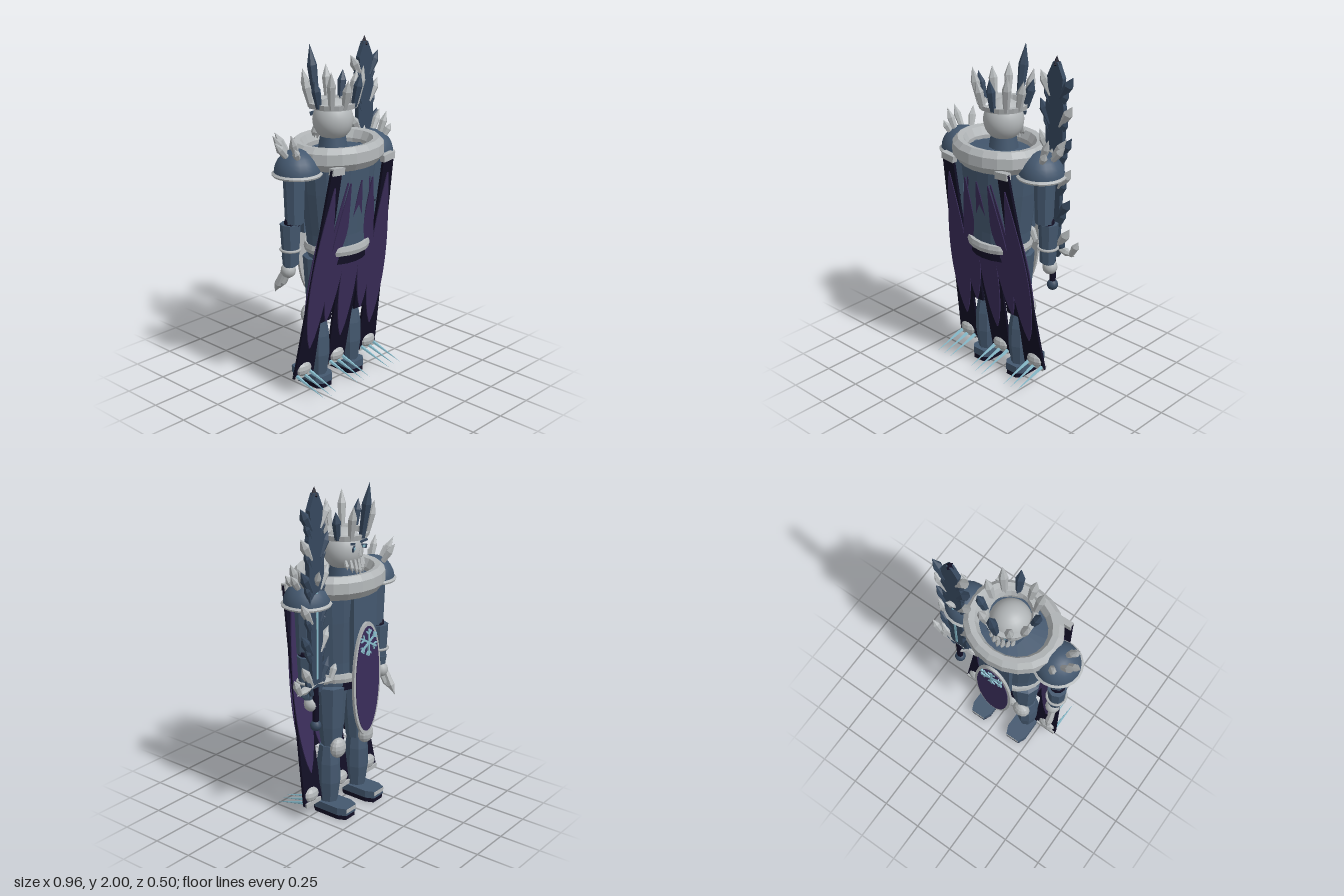
import * as THREE from 'three';

const paint = (name, color, side = THREE.FrontSide) => {
  const m = new THREE.MeshStandardMaterial({ color, side });
  m.name = name;
  return m;
};

export function createModel() {
  const steel = paint('steel blue', 0x44586f);
  const slate = paint('dark slate crystal', 0x36485e);
  const frost = paint('frost grey', 0xb2b6b8);
  const navy = paint('night navy', 0x110e24);
  const purple = paint('royal purple', 0x3a2d5a);
  const ice = paint('ice blue', 0x86b9c9);

  const model = new THREE.Group();
  const body = new THREE.Group();
  body.name = 'body';
  body.position.x = -0.026;
  model.add(body);

  const add = (name, geo, mat, x = 0, y = 0, z = 0, parent = body) => {
    const m = new THREE.Mesh(geo, mat);
    m.name = name;
    m.position.set(x, y, z);
    parent.add(m);
    return m;
  };
  const flat = (g) => {
    const f = g.index ? g.toNonIndexed() : g;
    f.computeVertexNormals();
    return f;
  };
  const lathe = (pts, sides) =>
    flat(new THREE.LatheGeometry(pts.map(([r, y]) => new THREE.Vector2(r, y)), sides));
  const plate = (pts, depth) => {
    const s = new THREE.Shape(pts.map(([x, y]) => new THREE.Vector2(x, y)));
    return new THREE.ExtrudeGeometry(s, { depth, bevelEnabled: false }).translate(0, 0, -depth / 2);
  };
  // Six-sided crystal from point a to point b
  const up = new THREE.Vector3(0, 1, 0);
  const crystal = (name, a, b, r, mat, parent = body) => {
    const from = new THREE.Vector3(...a), dir = new THREE.Vector3(...b).sub(from);
    const len = dir.length();
    const g = lathe([[0, 0], [r * 0.65, 0], [r, len * 0.62], [0, len]], 6);
    const m = add(name, g, mat, ...a, parent);
    m.quaternion.setFromUnitVectors(up, dir.normalize());
    return m;
  };

  // Torso, belt and collar
  add('torso', lathe([[0, 0.8], [0.19, 0.8], [0.2, 0.95], [0.235, 1.2], [0.255, 1.4], [0, 1.43]], 20), steel)
    .scale.z = 0.76;
  add('belt', lathe([[0.17, 0.83], [0.2, 0.835], [0.207, 0.86], [0.2, 0.885], [0.17, 0.885], [0.17, 0.83]], 20), frost)
    .scale.z = 0.85;
  add('beltLining', lathe([[0, 0.76], [0.185, 0.78], [0.185, 0.835], [0, 0.835]], 20), navy).scale.z = 0.8;
  add('collar', lathe([[0.2, 1.34], [0.25, 1.345], [0.288, 1.39], [0.285, 1.45], [0.255, 1.48],
    [0.22, 1.475], [0.195, 1.43], [0.2, 1.34]], 20), frost).scale.z = 0.87;
  add('chestPanel', new THREE.BoxGeometry(0.21, 0.5, 0.03), steel, 0, 1.15, -0.175);

  // Head with eyes, brows and hanging beard crystals
  add('neck', new THREE.CylinderGeometry(0.07, 0.09, 0.12, 12), steel, 0, 1.45, -0.03);
  add('head', new THREE.SphereGeometry(0.115, 24, 16), frost, 0, 1.58, -0.03).scale.y = 1.05;
  for (const s of [-1, 1]) {
    add('eye', new THREE.BoxGeometry(0.045, 0.022, 0.008), slate, s * 0.043, 1.605, -0.138).rotation.set(0, s * 0.38, s * -0.2);
    add('pupil', new THREE.BoxGeometry(0.018, 0.012, 0.008), ice, s * 0.043, 1.605, -0.142).rotation.y = s * 0.38;
    add('brow', new THREE.BoxGeometry(0.055, 0.012, 0.014), slate, s * 0.045, 1.632, -0.134).rotation.set(0, s * 0.38, s * 0.25);
  }
  add('nose', new THREE.ConeGeometry(0.014, 0.045, 4), frost, 0, 1.585, -0.148);
  for (let i = -3; i <= 3; i++) {
    const a = i * 0.27, x = Math.sin(a), z = -Math.cos(a);
    crystal('beardCrystal', [x * 0.1, 1.54, -0.03 + z * 0.105],
      [x * 0.1, 1.44 + Math.abs(i) * 0.015, -0.04 + z * 0.115], 0.014, frost);
  }

  // Crown: a band with eleven leaning crystals
  add('crownBand', lathe([[0.11, 1.655], [0.14, 1.655], [0.147, 1.685], [0.12, 1.685], [0.11, 1.655]], 22), frost, 0, 0, -0.03);
  const heights = [1.98, 1.86, 1.83, 1.84, 1.88, 1.86, 1.83, 1.88, 1.83, 1.84, 1.86];
  const darkOnes = [0, 2, 5, 8];
  heights.forEach((h, i) => {
    const a = (i / 11) * Math.PI * 2, x = Math.sin(a), z = -Math.cos(a);
    const lean = i === 0 ? 0.18 : 0.172;
    crystal('crownCrystal', [x * 0.13, 1.665, -0.03 + z * 0.13], [x * lean, h, -0.03 + z * lean],
      i === 0 ? 0.029 : 0.026, darkOnes.includes(i) ? slate : frost);
  });

  // Long cloak panels on a sloping plane, each with a purple petal on both faces
  const slope = (g, offset) => {
    const p = g.attributes.position;
    for (let i = 0; i < p.count; i++) p.setZ(i, p.getZ(i) + 0.2 - (1.38 - p.getY(i)) * 0.17 + offset);
    g.computeVertexNormals();
    return g;
  };
  const petal = (x0, y0, x1, y1, w) => {
    const left = [], right = [];
    for (let i = 0; i <= 16; i++) {
      const t = i / 16, hw = 0.003 + w * Math.pow(Math.sin(Math.PI * Math.pow(t, 1.3)) + 1e-9, 0.75);
      const x = x0 + (x1 - x0) * t, y = y0 + (y1 - y0) * t;
      left.push([x - hw, y]);
      right.unshift([x + hw, y]);
    }
    return plate([...left, ...right], 0.006);
  };
  const cloak = (name, corners, petalArgs) => {
    add(name, slope(plate(corners, 0.016), 0), navy);
    for (const o of [-0.011, 0.011]) add(name + 'Petal', slope(petal(...petalArgs), o), purple);
  };
  cloak('middleCloak', [[-0.07, 0.1], [0.07, 0.1], [0.09, 0.85], [-0.09, 0.85]], [0, 1.27, 0, 0.28, 0.064]);
  for (const s of [-1, 1]) {
    cloak('outerCloak', [[s * 0.19, 0.1], [s * 0.345, 0.1], [s * 0.25, 1.38], [s * 0.17, 1.38]],
      [s * 0.215, 1.27, s * 0.255, 0.28, 0.068]);
    cloak('innerCloak', [[s * 0.1, 0.42], [s * 0.21, 0.42], [s * 0.2, 0.85], [s * 0.09, 0.85]],
      [s * 0.088, 1.27, s * 0.145, 0.42, 0.055]);
    const tab = add('cloakClasp', new THREE.BoxGeometry(0.09, 0.04, 0.035), frost, s * 0.205, 1.365, 0.197);
    tab.rotation.z = s * 0.1;
  }

  // Cloak hem: pale knobs and forward icicles
  for (const x of [-0.275, 0, 0.275]) {
    const knob = add('hemKnob', flat(new THREE.SphereGeometry(0.06, 10, 6)), frost, x, 0.15, -0.01);
    knob.scale.set(1, 0.75, 0.6);
    add('hemBand', new THREE.BoxGeometry(0.13, 0.025, 0.03), frost, x, 0.105, -0.02);
    for (const d of [-0.052, 0, 0.052]) {
      const g = new THREE.ConeGeometry(0.012, 0.25, 5);
      add('hemIcicle', flat(g), ice, x + d, 0.085, 0.1).rotation.x = Math.PI / 2 + 0.27;
    }
  }

  // Oval tabard with pale rim and a snowflake
  const tabard = new THREE.Group();
  tabard.name = 'tabard';
  tabard.position.set(0, 0.84, -0.2);
  body.add(tabard);
  const disc = (name, rx, ry, depth, mat, z) =>
    add(name, new THREE.CylinderGeometry(1, 1, depth, 32).rotateX(Math.PI / 2), mat, 0, 0, z, tabard).scale.set(rx, ry, 1);
  disc('tabardRim', 0.125, 0.345, 0.016, frost, 0);
  disc('tabardCloth', 0.108, 0.322, 0.008, purple, -0.008);
  const flake = new THREE.Group();
  flake.name = 'snowflake';
  flake.position.set(0, 0.225, -0.015);
  tabard.add(flake);
  for (let i = 0; i < 6; i++) {
    const arm = new THREE.Group();
    arm.rotation.z = (i * Math.PI) / 3;
    flake.add(arm);
    add('flakeArm', new THREE.BoxGeometry(0.011, 0.08, 0.009), ice, 0, 0.04, 0, arm);
    for (const s of [-1, 1])
      add('flakeBarb', new THREE.BoxGeometry(0.008, 0.03, 0.009), ice, s * 0.011, 0.059, 0, arm).rotation.z = -s * 0.75;
  }

  // Arms and legs
  for (const s of [-1, 1]) {
    const dome = add('pauldron', new THREE.SphereGeometry(0.13, 20, 8, 0, Math.PI * 2, 0, Math.PI / 2), steel, s * 0.3, 1.335, -0.012);
    dome.scale.y = 1.03;
    add('pauldronRim', lathe([[0, 1.322], [0.138, 1.325], [0.142, 1.335], [0.13, 1.345], [0, 1.345]], 20), frost, s * 0.3, 0, -0.012);
    for (const [tx, ty, tz, bx, bz] of [[0.45, 1.53, -0.03, 0.36, -0.015], [0.43, 1.56, -0.065, 0.335, -0.045],
      [0.385, 1.57, 0.03, 0.325, 0.02], [0.345, 1.55, -0.14, 0.3, -0.07], [0.39, 1.5, 0.06, 0.34, 0.04]])
      crystal('pauldronCrystal', [s * bx, 1.42, bz], [s * tx, ty, tz], 0.022, frost);
    add('upperArm', flat(new THREE.CylinderGeometry(0.062, 0.052, 0.29, 8)), steel, s * 0.318, 1.195, -0.02);
    add('elbow', new THREE.SphereGeometry(0.046, 10, 8), navy, s * 0.327, 1.05, -0.03);
    add('forearm', flat(new THREE.CylinderGeometry(0.058, 0.045, 0.24, 8)), steel, s * 0.332, 0.925, -0.04);
    add('bracer', new THREE.TorusGeometry(0.056, 0.008, 6, 16).rotateX(Math.PI / 2), frost, s * 0.332, 0.895, -0.04);
    add('cuff', flat(new THREE.CylinderGeometry(0.045, 0.036, 0.06, 8)), steel, s * 0.33, 0.82, -0.05);
    add('hand', new THREE.SphereGeometry(0.044, 12, 8), frost, s * 0.328, 0.76, -0.065);

    add('thigh', lathe([[0, 0.4], [0.055, 0.4], [0.075, 0.55], [0.092, 0.8], [0, 0.83]], 8), steel, s * 0.115, 0, -0.035);
    add('greave', lathe([[0, 0.07], [0.05, 0.07], [0.066, 0.2], [0.064, 0.32], [0.048, 0.43], [0, 0.43]], 8), steel, s * 0.135, 0, -0.03)
      .scale.z = 1.15;
    add('kneeCap', flat(new THREE.SphereGeometry(0.056, 12, 8)), frost, s * 0.132, 0.425, -0.1).scale.set(1, 1.1, 0.75);
    // Foot with bevelled outline, dark sole and pale toe plate
    const outline = [[-0.045, 0.2], [-0.068, 0.15], [-0.066, -0.02], [-0.04, -0.05],
      [0.04, -0.05], [0.066, -0.02], [0.068, 0.15], [0.045, 0.2]];
    add('foot', plate(outline, 0.045).rotateX(-Math.PI / 2), steel, s * 0.136, 0.052, 0);
    add('sole', plate(outline, 0.03).rotateX(-Math.PI / 2), navy, s * 0.136, 0.015, 0).scale.set(0.93, 1, 0.97);
    add('toePlate', new THREE.BoxGeometry(0.09, 0.025, 0.02), frost, s * 0.136, 0.058, -0.192);
  }
  crystal('handShard', [-0.345, 0.76, -0.08], [-0.35, 0.61, -0.155], 0.025, frost);
  crystal('handShard', [-0.325, 0.75, -0.06], [-0.345, 0.64, -0.12], 0.02, frost);

  // Upright crystal sword
  const sword = new THREE.Group();
  sword.name = 'sword';
  sword.position.set(0.3, 0, -0.093);
  model.add(sword);
  add('pommel', new THREE.SphereGeometry(0.033, 12, 8), slate, 0, 0.635, 0, sword);
  add('grip', new THREE.CylinderGeometry(0.018, 0.018, 0.22, 8), navy, 0, 0.76, 0, sword);
  add('blade', plate([[-0.04, 0.87], [0.04, 0.87], [0.058, 1.4], [0.065, 1.72], [0.045, 1.8], [0.055, 1.88],
    [0.015, 1.965], [-0.015, 1.965], [-0.055, 1.88], [-0.045, 1.8], [-0.065, 1.72], [-0.058, 1.4]], 0.028), slate, 0, 0, 0, sword);
  add('bladeTip', lathe([[0, 1.93], [0.024, 1.95], [0, 2]], 4), navy, 0, 0, 0, sword);
  add('fuller', new THREE.BoxGeometry(0.014, 0.5, 0.036), ice, 0, 1.17, 0, sword);
  for (const s of [-1, 1]) {
    [1.02, 1.2, 1.38, 1.56, 1.74, 1.9].forEach((y, i) => {
      crystal('bladeCrystal', [s * 0.035, y - 0.13, 0], [s * 0.115, y, 0], 0.027, (i + (s > 0 ? 0 : 1)) % 2 ? slate : frost, sword);
      crystal('bladeShard', [s * 0.03, y - 0.19, 0], [s * 0.085, y - 0.07, 0], 0.02, slate, sword);
    });
    crystal('guardArm', [0, 0.89, 0], [s * 0.16, 0.865, 0], 0.022, frost, sword);
    crystal('guardProng', [s * 0.13, 0.865, 0], [s * 0.182, 0.965, 0], 0.022, frost, sword);
  }
  return model;
}
